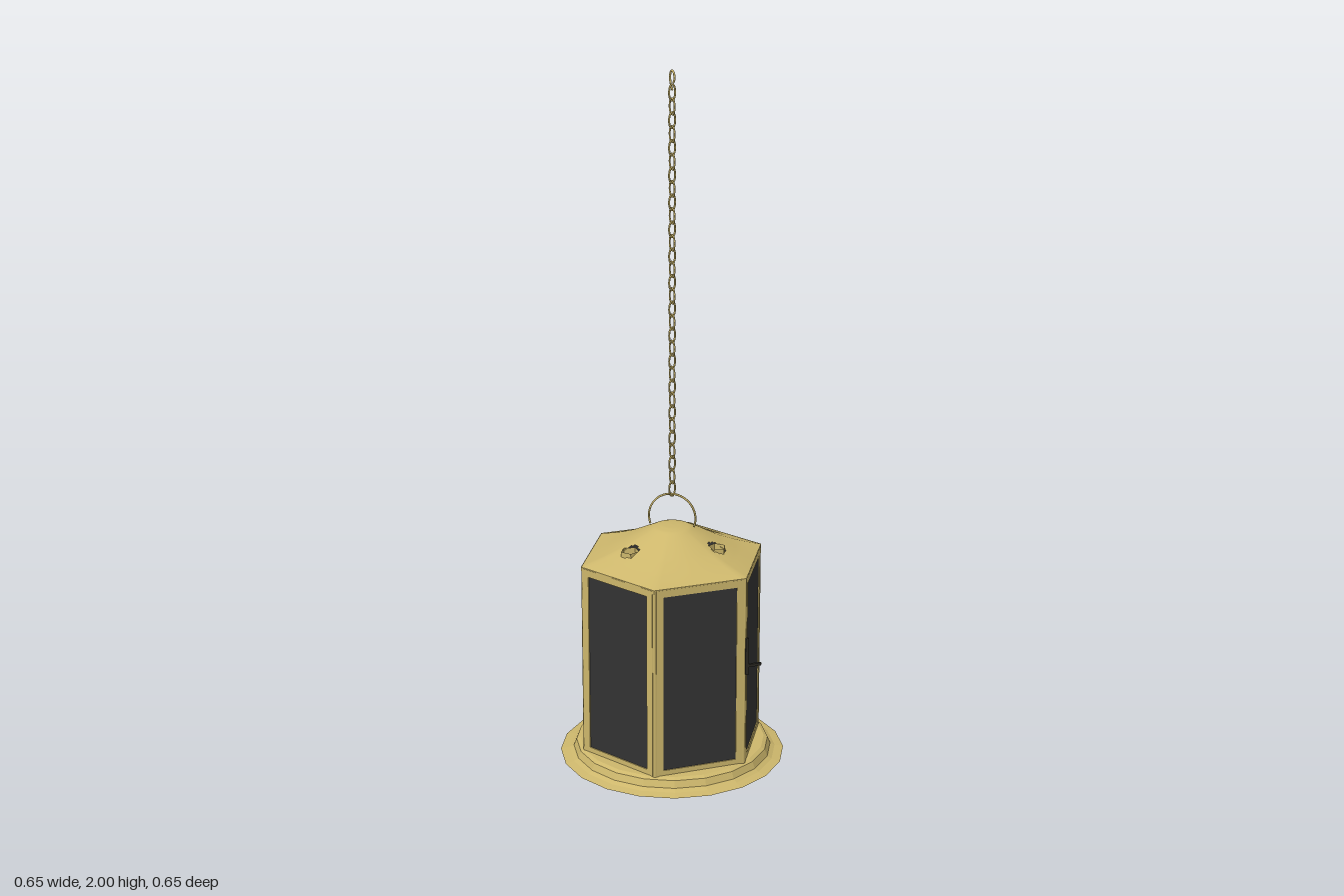
import * as THREE from 'three';

const brass = new THREE.MeshStandardMaterial({ color: 0xcdb76c, side: THREE.DoubleSide });
brass.name = 'brass';
const glass = new THREE.MeshStandardMaterial({ color: 0x333333, side: THREE.DoubleSide });
glass.name = 'smoked glass';
const iron = new THREE.MeshStandardMaterial({ color: 0x2a2822 });
iron.name = 'dark iron';

const APOTHEM = 0.235, SIDE = 0.271, BOTTOM = 0.04, TOP = 0.608;
const V = (x, y, z) => new THREE.Vector3(x, y, z);

function add(parent, name, geometry, material, x = 0, y = 0, z = 0) {
  const mesh = new THREE.Mesh(geometry, material);
  mesh.name = name;
  mesh.position.set(x, y, z);
  parent.add(mesh);
  return mesh;
}

function faceted(geometry) {
  const g = geometry.toNonIndexed();
  g.computeVertexNormals();
  return g;
}

function wire(points, radius, closed = false, steps = 24) {
  return new THREE.TubeGeometry(new THREE.CatmullRomCurve3(points, closed), steps, radius, 6, closed);
}

// Star-like vents in the roof: x, z, turn
const vents = [[0.035, -0.14, 0.2], [-0.138, 0.036, 1.0], [0.1, 0.095, 0.5]];
const VENT_R = 0.027;

function insideVent(x, z) {
  return vents.some(([cx, cz, turn]) => {
    const dx = x - cx, dz = z - cz;
    const a = Math.atan2(dx, dz) - turn, step = Math.PI * 2 / 5;
    const local = ((a % step) + step) % step - step / 2;
    return Math.hypot(dx, dz) * Math.cos(local) < VENT_R * Math.cos(step / 2);
  });
}

// Roof height by fraction of the way out from the centre
const profile = [[0, 0.705], [0.12, 0.704], [0.22, 0.7], [0.4, 0.678], [0.6, 0.652], [0.8, 0.63], [1, 0.61]];
function roofHeight(t) {
  for (let i = 1; i < profile.length; i++) {
    const [t0, y0] = profile[i - 1], [t1, y1] = profile[i];
    if (t <= t1) return y0 + (y1 - y0) * (t - t0) / (t1 - t0);
  }
  return 0.61;
}

// Dome that blends from a round crown to a hexagonal eave
function roofGeometry() {
  const rings = 40, around = 120, pos = [], index = [];
  for (let i = 0; i <= rings; i++) {
    const t = i / rings;
    for (let j = 0; j <= around; j++) {
      const a = j / around * Math.PI * 2;
      const hex = APOTHEM / Math.cos(a % (Math.PI / 3) - Math.PI / 6);
      const r = t * THREE.MathUtils.lerp(APOTHEM, hex, t * t);
      pos.push(r * Math.cos(a), roofHeight(t), r * Math.sin(a));
    }
  }
  const row = around + 1;
  for (let i = 0; i < rings; i++) {
    for (let j = 0; j < around; j++) {
      const a = i * row + j, b = a + 1, c = a + row, d = c + 1;
      const mid = k => (pos[a * 3 + k] + pos[d * 3 + k]) / 2;
      if (insideVent(mid(0), mid(2))) continue;
      index.push(a, b, c, b, d, c);
    }
  }
  const g = new THREE.BufferGeometry();
  g.setAttribute('position', new THREE.Float32BufferAttribute(pos, 3));
  g.setIndex(index);
  g.computeVertexNormals();
  return g;
}

// One framed pane, built facing +z
function panel(name) {
  const side = new THREE.Group();
  side.name = name;
  const h = TOP - BOTTOM, w = SIDE / 2 - 0.006;
  const frame = new THREE.Shape([[-w, 0], [w, 0], [w, h], [-w, h]].map(p => new THREE.Vector2(...p)));
  const b = 0.021;
  frame.holes.push(new THREE.Path(
    [[-w + b, b], [-w + b, h - b], [w - b, h - b], [w - b, b]].map(p => new THREE.Vector2(...p))));
  add(side, 'paneFrame', new THREE.ExtrudeGeometry(frame, { depth: 0.012, bevelEnabled: false }),
    brass, 0, BOTTOM, APOTHEM - 0.011);
  add(side, 'pane', new THREE.BoxGeometry(2 * (w - b) + 0.004, h - 2 * b + 0.004, 0.004),
    glass, 0, BOTTOM + h / 2, APOTHEM - 0.004);
  return side;
}

export function createModel() {
  const lantern = new THREE.Group();
  lantern.name = 'hangingLantern';

  // Spreading foot
  const foot = [[0, 0.006], [0.27, 0.006], [0.29, 0], [0.325, 0.008], [0.3, 0.013], [0.287, 0.02],
    [0.279, 0.04], [0.268, 0.046], [0, 0.046]].map(p => new THREE.Vector2(...p));
  add(lantern, 'foot', faceted(new THREE.LatheGeometry(foot, 20)), brass);
  const drain = add(lantern, 'footBoss', new THREE.TorusGeometry(0.018, 0.004, 6, 12), brass, 0, 0.005, 0);
  drain.rotation.x = Math.PI / 2;

  // Six panes and the corner posts between them
  for (let i = 0; i < 6; i++) {
    const side = panel(i === 1 ? 'door' : 'sidePanel');
    side.rotation.y = i * Math.PI / 3;
    lantern.add(side);
    const a = i * Math.PI / 3, r = 0.264;
    add(lantern, 'cornerPost', new THREE.CylinderGeometry(0.007, 0.007, TOP - BOTTOM, 6),
      brass, r * Math.cos(a), (TOP + BOTTOM) / 2, r * Math.sin(a));
  }

  // Roof, eave and vents
  add(lantern, 'roof', roofGeometry(), brass);
  const eave = add(lantern, 'eave', faceted(new THREE.CylinderGeometry(0.272, 0.272, 0.012, 6, 1, true)),
    brass, 0, 0.605, 0);
  eave.rotation.y = Math.PI / 6;
  for (const [x, z, turn] of vents) {
    const y = roofHeight(Math.hypot(x, z) / APOTHEM);
    const sleeve = add(lantern, 'ventSleeve',
      faceted(new THREE.CylinderGeometry(VENT_R, VENT_R, 0.022, 5, 1, true)), brass, x, y - 0.006, z);
    sleeve.rotation.y = turn;
  }

  // Door latch on the front right corner
  const latch = new THREE.Group();
  latch.name = 'latch';
  add(latch, 'latchPlate', new THREE.BoxGeometry(0.01, 0.11, 0.008), iron, 0.14, 0.375, 0.234);
  add(latch, 'latchHandle', new THREE.BoxGeometry(0.045, 0.008, 0.007), iron, 0.16, 0.346, 0.234);
  lantern.add(latch);

  // Wire bail over the crown
  const bail = [];
  for (let i = 0; i <= 12; i++) {
    const a = -0.35 + (Math.PI + 0.7) * i / 12;
    bail.push(V(0.068 * Math.cos(a), 0.727 + 0.07 * Math.sin(a), 0));
  }
  add(lantern, 'bail', wire(bail, 0.003, false, 32), brass).rotation.y = -0.58;

  // Chain of alternating links
  const links = 31, pitch = 0.0375;
  const oval = [];
  for (let i = 0; i < 10; i++) {
    const a = i / 10 * Math.PI * 2;
    oval.push(V(0.0105 * Math.cos(a), 0.0225 * Math.sin(a), 0));
  }
  const linkGeometry = wire(oval, 0.0027, true, 18);
  for (let i = 0; i < links; i++) {
    const link = add(lantern, 'chainLink', linkGeometry, brass, 0, 0.813 + i * pitch, 0);
    link.rotation.y = 0.35 + (i % 2) * Math.PI / 2;
  }

  // Hook at the top of the chain
  add(lantern, 'hook', wire([V(0, 1.945, 0.002), V(0, 1.955, -0.008), V(0, 1.972, -0.016), V(0, 1.988, -0.014),
    V(0, 1.997, 0), V(0, 1.99, 0.016), V(0, 1.975, 0.018), V(0, 1.966, 0.01)], 0.003), brass);

  return lantern;
}
